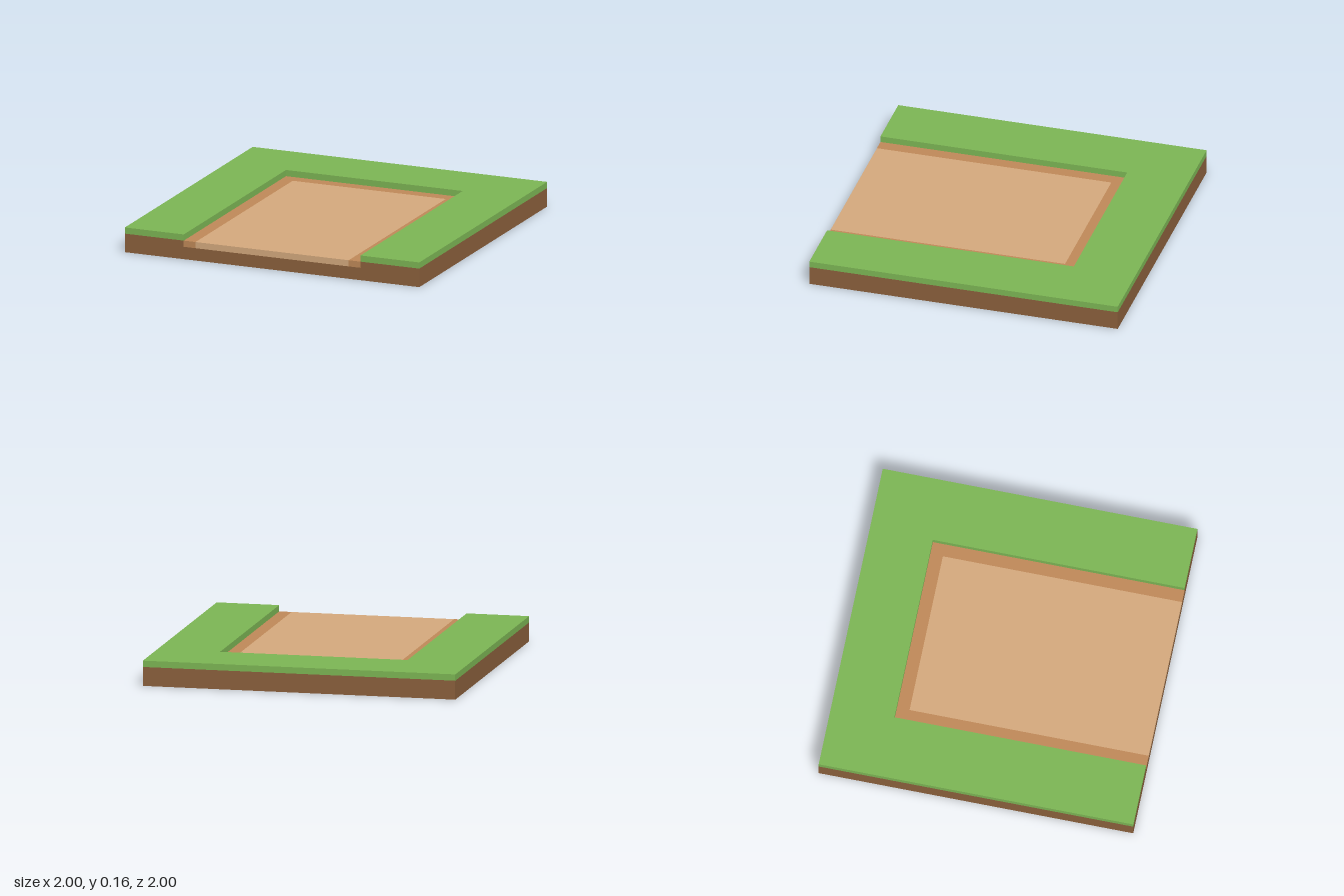
import * as THREE from 'three';

const SIZE = 1;      // half width of the tile
const BED = 0.6;     // half width of the recess, open to the front
const PATH = 0.52;   // half width of the inner path

// U-shaped slab in plan, open towards +z, from y0 to y1
function uSlab(outer, outerBack, inner, innerBack, y0, y1) {
  const shape = new THREE.Shape([
    [-outer, -SIZE], [-inner, -SIZE], [-inner, innerBack], [inner, innerBack],
    [inner, -SIZE], [outer, -SIZE], [outer, outerBack], [-outer, outerBack],
  ].map(([x, y]) => new THREE.Vector2(x, y)));
  return new THREE.ExtrudeGeometry(shape, { depth: y1 - y0, bevelEnabled: false })
    .rotateX(-Math.PI / 2)
    .translate(0, y0, 0);
}

// Box given by its x, y and z limits
function slab(x, y0, y1, z0, z1) {
  return new THREE.BoxGeometry(2 * x, y1 - y0, z1 - z0)
    .translate(0, (y0 + y1) / 2, (z0 + z1) / 2);
}

export function createModel() {
  const group = new THREE.Group();
  const add = (name, geometry, material) => {
    const mesh = new THREE.Mesh(geometry, material);
    mesh.name = name;
    group.add(mesh);
  };
  const paint = (color) => new THREE.MeshStandardMaterial({ color });
  const soil = paint(0x8b603c);

  // Earth block, with a rim around the sunken path
  add('soilBase', slab(SIZE, 0, 0.08, -SIZE, SIZE), soil);
  add('soilRim', uSlab(SIZE, SIZE, BED, BED, 0.08, 0.12), soil);

  // Path with a darker border, flush with the top of the soil
  add('pathBorder', uSlab(BED, BED, PATH, PATH, 0.08, 0.12), paint(0xbf8958));
  add('path', slab(PATH, 0.08, 0.12, -PATH, SIZE), paint(0xd4a97d));

  // Grass around three sides
  add('grass', uSlab(SIZE, SIZE, BED, BED, 0.12, 0.16), paint(0x7cb554));

  return group;
}
